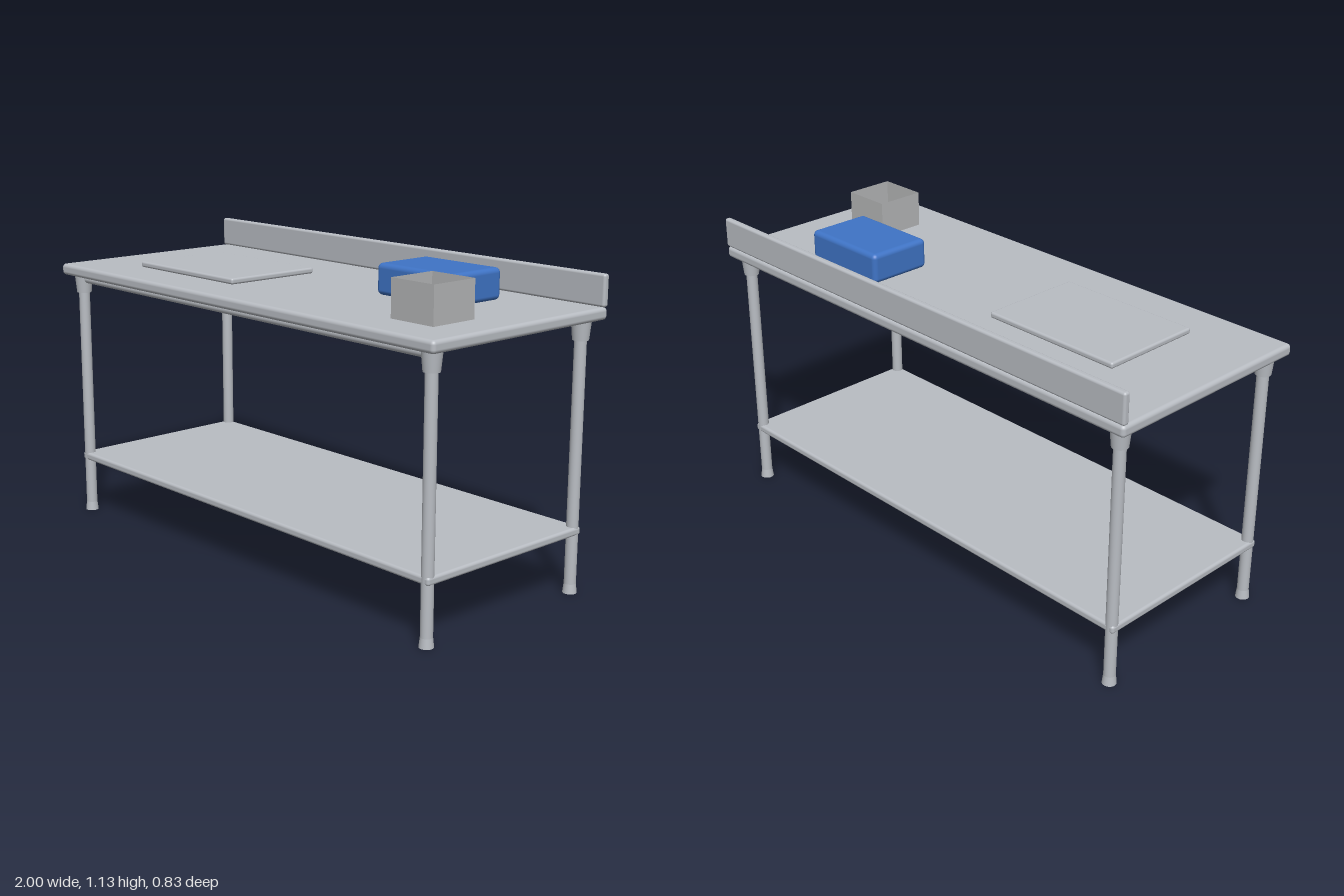
import * as THREE from 'three';
import { RoundedBoxGeometry } from 'three/addons/geometries/RoundedBoxGeometry.js';

export function createModel() {
  const group = new THREE.Group();
  const mat = (name, color, side = THREE.FrontSide) => {
    const m = new THREE.MeshStandardMaterial({ color, side });
    m.name = name;
    return m;
  };
  const steel = mat('brushed steel', 0xb9bdc3);
  const blue = mat('blue plastic', 0x3f74c6);
  const tin = mat('thin tin', 0xb5b6b7, THREE.DoubleSide);

  const add = (name, geometry, material, x, y, z, parent = group) => {
    const mesh = new THREE.Mesh(geometry, material);
    mesh.name = name;
    mesh.position.set(x, y, z);
    parent.add(mesh);
    return mesh;
  };

  // Rounded block given by its minimum and maximum on each axis
  const block = (name, material, [x0, x1], [y0, y1], [z0, z1], radius) =>
    add(name, new RoundedBoxGeometry(x1 - x0, y1 - y0, z1 - z0, 4, radius), material,
      (x0 + x1) / 2, (y0 + y1) / 2, (z0 + z1) / 2);

  // Worktop, rear upstand and lower shelf
  block('worktop', steel, [-1, 1], [0.957, 1], [-0.415, 0.415], 0.014);
  block('backsplash', steel, [-1, 1], [1, 1.111], [-0.415, -0.39], 0.009);
  block('lowerShelf', steel, [-0.96, 0.96], [0.21, 0.24], [-0.375, 0.375], 0.01);

  // Brace under the front edge
  const rail = add('frontRail', new THREE.CylinderGeometry(0.016, 0.016, 1.86, 24), steel, 0, 0.943, 0.355);
  rail.rotation.z = Math.PI / 2;

  // Four tubular legs with flared feet and tapered sockets
  const tube = new THREE.CylinderGeometry(0.021, 0.021, 0.93, 32);
  const foot = new THREE.CylinderGeometry(0.021, 0.025, 0.034, 32);
  const socket = new THREE.CylinderGeometry(0.035, 0.028, 0.07, 32);
  for (const x of [-0.938, 0.938]) {
    for (const z of [-0.355, 0.355]) {
      const leg = new THREE.Group();
      leg.name = 'leg';
      leg.position.set(x, 0, z);
      add('legTube', tube, steel, 0, 0.495, 0, leg);
      add('foot', foot, steel, 0, 0.017, 0, leg);
      add('socket', socket, steel, 0, 0.924, 0, leg);
      group.add(leg);
    }
  }

  // Items on the worktop
  block('cuttingBoard', steel, [-0.72, -0.165], [1, 1.022], [-0.155, 0.235], 0.008);
  block('blueContainer', blue, [0.32, 0.675], [1, 1.111], [-0.255, -0.01], 0.018);

  // Open square tin with paper-thin walls
  const side = 0.186, height = 0.132;
  const bin = new THREE.Group();
  bin.name = 'openTin';
  bin.position.set(0.758, 1, 0.167);
  for (let i = 0; i < 4; i++) {
    const a = i * Math.PI / 2;
    const wall = add('tinWall', new THREE.PlaneGeometry(side, height), tin,
      Math.sin(a) * side / 2, height / 2, Math.cos(a) * side / 2, bin);
    wall.rotation.y = a;
  }
  const floor = add('tinFloor', new THREE.PlaneGeometry(side, side), tin, 0, 0.003, 0, bin);
  floor.rotation.x = -Math.PI / 2;
  group.add(bin);

  return group;
}
